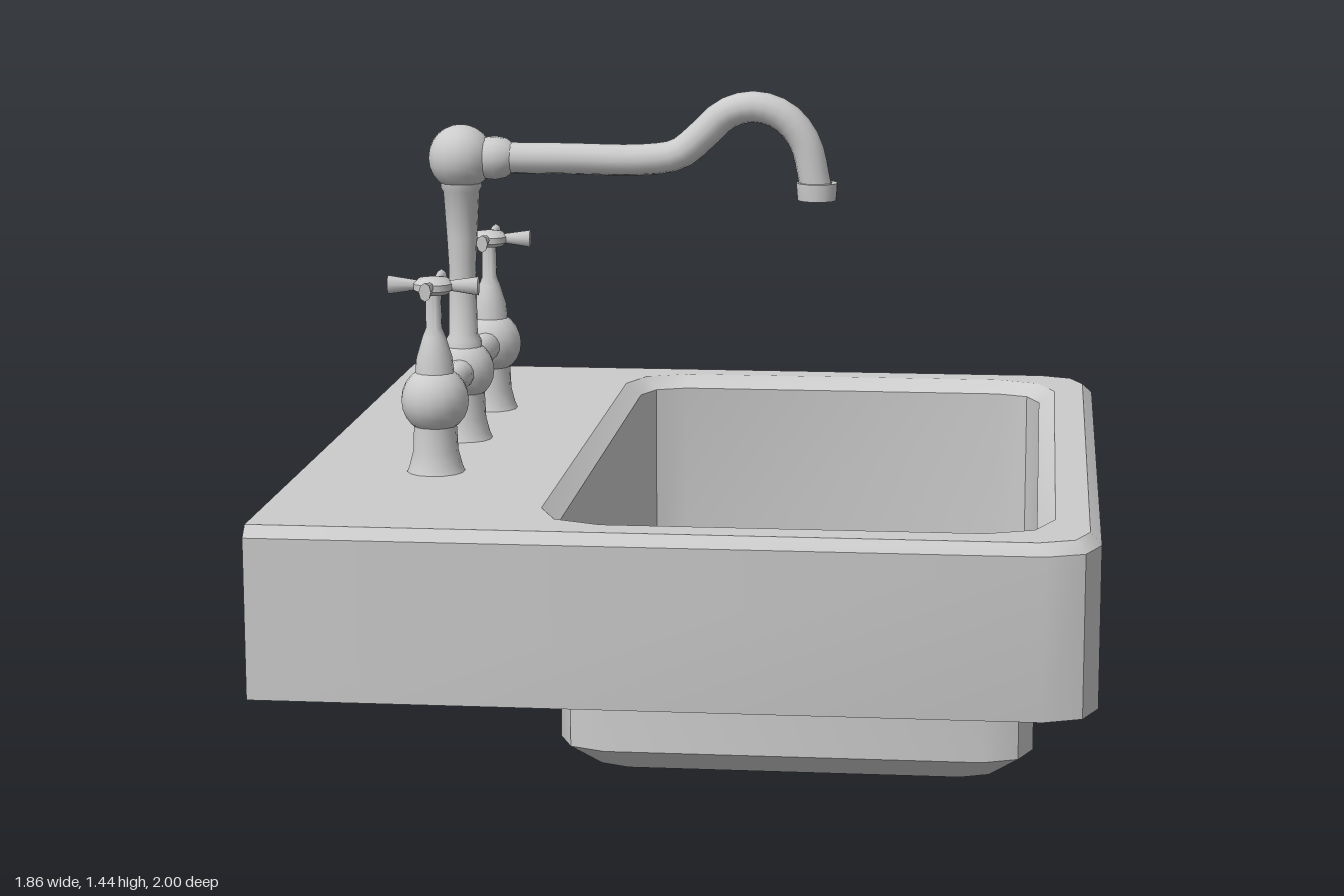
import * as THREE from 'three';
import { toCreasedNormals } from 'three/addons/utils/BufferGeometryUtils.js';

const grey = new THREE.MeshStandardMaterial({ color: 0xcccccc });
const greySheet = new THREE.MeshStandardMaterial({ color: 0xcccccc, side: THREE.DoubleSide });

function add(parent, name, geometry, x = 0, y = 0, z = 0, material = grey) {
  const mesh = new THREE.Mesh(geometry, material);
  mesh.name = name;
  mesh.position.set(x, y, z);
  parent.add(mesh);
  return mesh;
}

// Quarter-turn corner made of two segments, as [x, z] points
function corner(cx, cz, r, start) {
  return [0, 1, 2].map((i) => {
    const a = start + (i * Math.PI) / 4;
    return [cx + r * Math.cos(a), cz + r * Math.sin(a)];
  });
}

// Closed rectangle with four rounded corners
function basinLoop(x0, x1, h, r) {
  return [
    ...corner(x1 - r, h - r, r, 0),
    ...corner(x0 + r, h - r, r, Math.PI / 2),
    ...corner(x0 + r, r - h, r, Math.PI),
    ...corner(x1 - r, r - h, r, Math.PI * 1.5),
  ];
}

// Outline with a square, open back and two rounded front corners
function apronLoop(x1, h, r) {
  return [
    [-0.93, -h],
    ...corner(x1 - r, r - h, r, -Math.PI / 2),
    ...corner(x1 - r, h - r, r, 0),
    [-0.93, h],
  ];
}

// Sheet joining a stack of loops, each given as { y, points }
function skin(rows, closed) {
  const n = rows[0].points.length;
  const positions = rows.flatMap(({ y, points }) => points.flatMap(([x, z]) => [x, y, z]));
  const index = [];
  for (let j = 0; j < rows.length - 1; j++) {
    for (let i = 0; i < (closed ? n : n - 1); i++) {
      const a = j * n + i;
      const b = j * n + ((i + 1) % n);
      index.push(a, a + n, b, b, a + n, b + n);
    }
  }
  const geometry = new THREE.BufferGeometry();
  geometry.setAttribute('position', new THREE.Float32BufferAttribute(positions, 3));
  geometry.setIndex(index);
  return toCreasedNormals(geometry, 0.6);
}

// Flat horizontal sheet, optionally with a hole
function sheet(outline, hole) {
  const toVectors = (points) => points.map(([x, z]) => new THREE.Vector2(x, -z));
  const shape = new THREE.Shape(toVectors(outline));
  if (hole) shape.holes.push(new THREE.Path(toVectors(hole)));
  return new THREE.ShapeGeometry(shape).rotateX(-Math.PI / 2);
}

// Turned part from [radius, height] pairs
function turned(profile, sides = 14) {
  const points = profile.map(([r, y]) => new THREE.Vector2(r, y));
  return toCreasedNormals(new THREE.LatheGeometry(points, sides), 0.7);
}

function createSink() {
  const sink = new THREE.Group();
  sink.name = 'sink';
  const deckEdge = apronLoop(0.905, 0.975, 0.11);
  const rim = basinLoop(-0.31, 0.83, 0.9, 0.15);
  const wall = basinLoop(-0.27, 0.79, 0.855, 0.11);
  const floor = basinLoop(-0.2, 0.72, 0.8, 0.09);
  const side = apronLoop(0.93, 1, 0.12);

  add(sink, 'deck', sheet(deckEdge, rim), 0, 0.58, 0, greySheet);
  add(sink, 'apron', skin([
    { y: 0.19, points: side }, { y: 0.555, points: side }, { y: 0.58, points: deckEdge },
  ], false), 0, 0, 0, greySheet);
  add(sink, 'basinWalls', skin([
    { y: 0, points: floor }, { y: 0.052, points: wall },
    { y: 0.55, points: wall }, { y: 0.58, points: rim },
  ].reverse(), true), 0, 0, 0, greySheet);
  add(sink, 'basinFloor', sheet(floor), 0, 0, 0, greySheet);
  return sink;
}

// Flared foot shared by the column and both valves
const foot = [[0.068, 0.58], [0.062, 0.595], [0.053, 0.63], [0.05, 0.7]];

function createValve(name, z) {
  const valve = new THREE.Group();
  valve.name = name;
  valve.position.z = z;
  add(valve, 'valveFoot', turned(foot));
  add(valve, 'valveBall', new THREE.SphereGeometry(0.08, 16, 12), 0, 0.75);
  add(valve, 'valveStem', turned([
    [0.046, 0.81], [0.042, 0.85], [0.027, 0.9], [0.019, 0.92], [0.018, 1.01],
  ]));
  add(valve, 'handleHub', turned([
    [0, 1.0], [0.034, 1.0], [0.046, 1.01], [0.046, 1.025], [0.034, 1.037], [0, 1.042],
  ]));
  // Cross handle arms, widening towards their tips
  for (let i = 0; i < 4; i++) {
    const arm = add(valve, 'handleArm',
      new THREE.CylinderGeometry(0.022, 0.011, 0.075, 8).rotateZ(-Math.PI / 2).translate(0.069, 0, 0)
        .scale(1, 1, 0.65), 0, 1.02);
    arm.rotation.y = (i * Math.PI) / 2;
  }
  return valve;
}

function createFaucet() {
  const faucet = new THREE.Group();
  faucet.name = 'faucet';
  faucet.position.x = -0.615;

  // Central column with its two balls
  add(faucet, 'columnFoot', turned(foot));
  add(faucet, 'columnBall', new THREE.SphereGeometry(0.075, 16, 12), 0, 0.75);
  add(faucet, 'column', turned([
    [0.046, 0.8], [0.044, 0.825], [0.035, 0.84], [0.033, 1.0], [0.037, 1.08],
    [0.044, 1.19], [0.05, 1.2], [0.05, 1.23],
  ]));
  add(faucet, 'spoutBall', new THREE.SphereGeometry(0.08, 16, 12), 0, 1.273);

  // Valves and the bridge pipes between them and the column
  for (const [label, s] of [['front', 1], ['back', -1]]) {
    faucet.add(createValve(label + 'Valve', s * 0.387));
    const pipe = add(faucet, label + 'BridgePipe',
      turned([[0.036, 0.06], [0.036, 0.09], [0.029, 0.11], [0.034, 0.26], [0.037, 0.33]]), 0, 0.75);
    pipe.rotation.x = (s * Math.PI) / 2;
  }

  // Swan-neck spout with a collar and a nozzle
  const collar = add(faucet, 'spoutCollar',
    turned([[0.05, 0.05], [0.053, 0.085], [0.048, 0.11], [0.037, 0.125]]), 0, 1.273);
  collar.rotation.z = -Math.PI / 2;
  const path = new THREE.CatmullRomCurve3([
    [0.06, 1.273], [0.25, 1.273], [0.45, 1.273], [0.53, 1.287], [0.59, 1.335],
    [0.645, 1.385], [0.715, 1.403], [0.785, 1.38], [0.835, 1.32], [0.862, 1.21],
  ].map(([x, y]) => new THREE.Vector3(x, y, 0)));
  add(faucet, 'spout', new THREE.TubeGeometry(path, 32, 0.038, 12));
  add(faucet, 'nozzle', turned([
    [0, 1.18], [0.047, 1.18], [0.05, 1.215], [0.05, 1.222], [0.036, 1.222],
  ]), 0.865);
  return faucet;
}

export function createModel() {
  const model = new THREE.Group();
  model.name = 'sinkWithFaucet';
  model.add(createSink(), createFaucet());
  return model;
}
